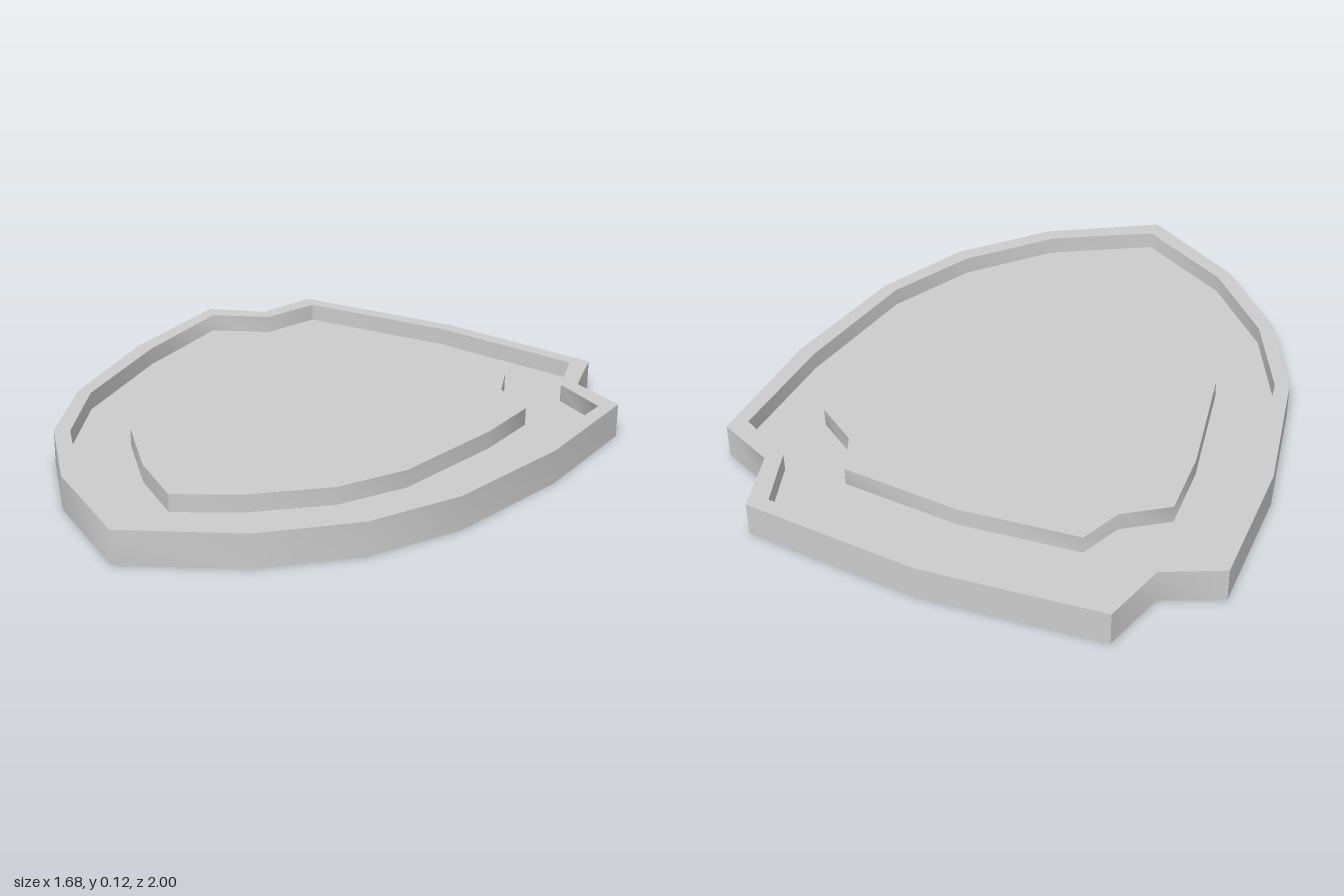
import * as THREE from 'three';
import { toCreasedNormals } from 'three/addons/utils/BufferGeometryUtils.js';

const HEIGHT = 0.115;
const FLOOR = 0.055;

// Right halves of the outlines as [x, z], from back centre to front tip
const OUTER = [[0, -1], [0.592, -0.95], [0.65, -0.738], [0.84, -0.65], [0.829, -0.2],
  [0.74, 0.25], [0.592, 0.55], [0.35, 0.8], [0, 1]];
const INNER = [[0, -0.947], [0.54, -0.903], [0.605, -0.7], [0.79, -0.6], [0.773, -0.2],
  [0.693, 0.24], [0.548, 0.52], [0.318, 0.76], [0, 0.935]];
const PANEL = [[0, -0.72], [0.398, -0.686], [0.455, -0.55], [0.597, -0.452], [0.585, -0.22],
  [0.512, 0.18], [0.395, 0.402], [0.192, 0.598], [0, 0.721]];

// Mirror a half outline into a closed loop (shape y is -z)
function outline(half) {
  const mirrored = half.slice(1, -1).reverse().map(([x, z]) => [-x, z]);
  return [...half, ...mirrored].map(([x, z]) => new THREE.Vector2(x, -z));
}

// Upright slab of a given outline, with an optional opening wound the other way
function slab(name, half, y0, y1, hole) {
  const shape = new THREE.Shape(outline(half));
  if (hole) shape.holes.push(new THREE.Path(outline(hole).reverse()));
  const geo = new THREE.ExtrudeGeometry(shape, { depth: y1 - y0, bevelEnabled: false });
  geo.rotateX(-Math.PI / 2).translate(0, y0, 0);
  const mesh = new THREE.Mesh(toCreasedNormals(geo, 1.13),
    new THREE.MeshStandardMaterial({ color: 0xcccccc }));
  mesh.name = name;
  return mesh;
}

export function createModel() {
  const group = new THREE.Group();
  group.name = 'shield';
  group.add(
    slab('rim', OUTER, 0, HEIGHT, INNER),          // raised border
    slab('recessedPlate', INNER, 0, FLOOR),        // sunken field and back
    slab('raisedPanel', PANEL, FLOOR - 0.01, HEIGHT) // centre panel
  );
  return group;
}
